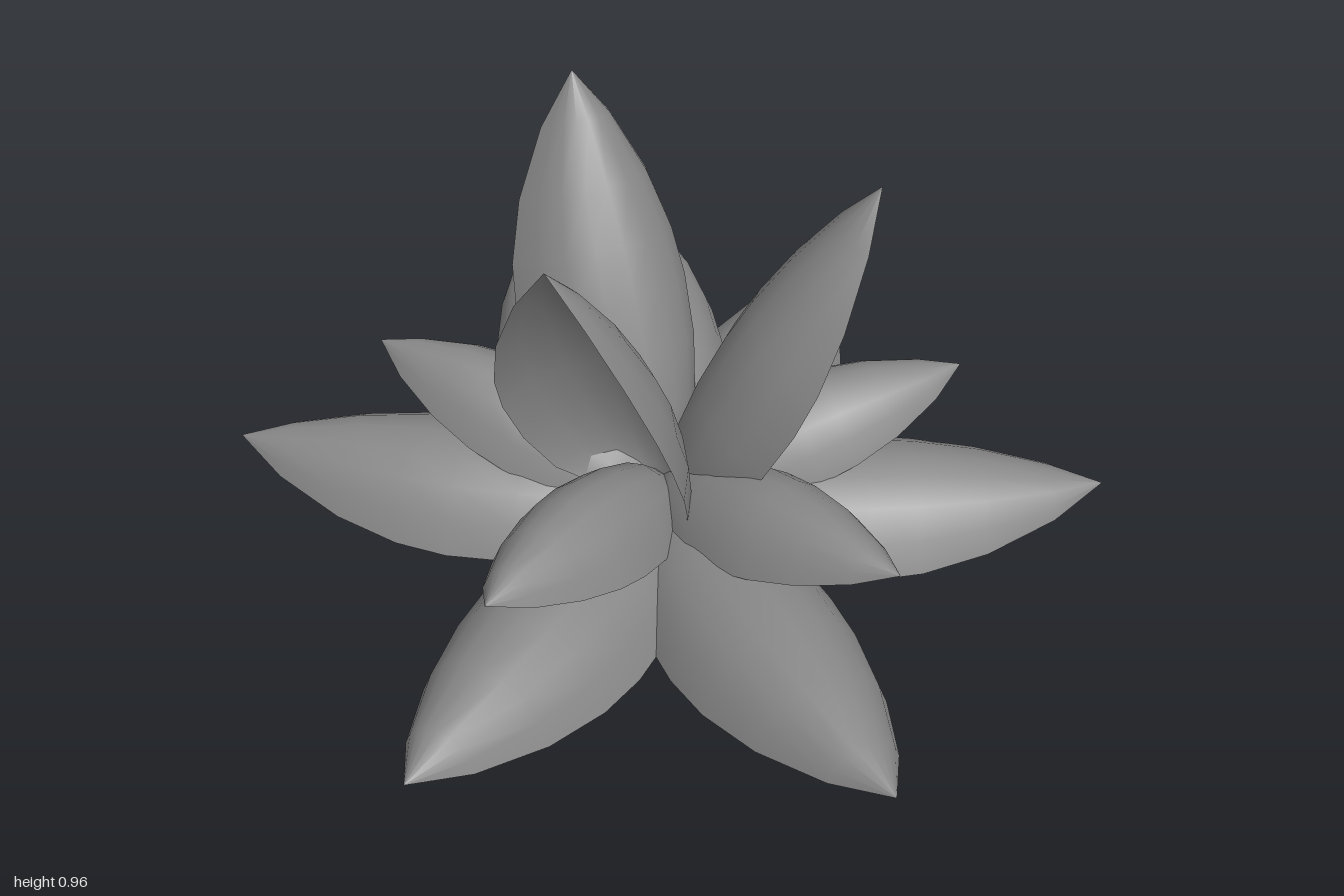
import * as THREE from 'three';

// Half-width of a petal at stations along its length (0 = base, 1 = tip)
const STATIONS = [
  [0, 0.03], [0.06, 0.105], [0.15, 0.168], [0.3, 0.2], [0.45, 0.207],
  [0.57, 0.195], [0.72, 0.155], [0.88, 0.083], [1, 0],
];
const SEGMENTS = 8;
const HALF_ARC = THREE.MathUtils.degToRad(72);

// Leaf-shaped arched shell along +z: the ridge is raised, both edges droop,
// and bow lifts the middle of the whole petal
function petalGeometry(length, width, height, bow) {
  const positions = [], index = [];
  for (const [t, w] of STATIONS) {
    const lift = bow * Math.sin(Math.PI * t);
    for (let j = 0; j <= SEGMENTS; j++) {
      const a = (j / SEGMENTS * 2 - 1) * HALF_ARC;
      const x = Math.sin(a) / Math.sin(HALF_ARC);
      const arch = (Math.cos(a) - Math.cos(HALF_ARC)) / (1 - Math.cos(HALF_ARC));
      positions.push(x * w * width, (arch * 0.93 - 0.45) * w * height + lift, t * length);
    }
  }
  const row = SEGMENTS + 1;
  for (let i = 0; i < STATIONS.length - 1; i++) {
    for (let j = 0; j < SEGMENTS; j++) {
      const a = i * row + j, b = a + 1, c = a + row, d = c + 1;
      index.push(a, c, b);
      if (i < STATIONS.length - 2) index.push(b, c, d);
    }
  }
  const geometry = new THREE.BufferGeometry();
  geometry.setAttribute('position', new THREE.Float32BufferAttribute(positions, 3));
  geometry.setIndex(index);
  geometry.computeVertexNormals();
  return geometry;
}

export function createModel() {
  const model = new THREE.Group();
  model.name = 'flower';
  const material = new THREE.MeshStandardMaterial({ color: 0x888888, side: THREE.DoubleSide });

  // Three whorls: base radius and height, tip radius and height, size, directions from the front
  const whorls = [
    { name: 'lowerPetal', start: 0, base: 0.1, reach: 1, tip: 0.09,
      width: 1, height: 1, bow: 0, angles: [0, 57, 123, 185, 232, 288] },
    { name: 'middlePetal', start: 0, base: 0.13, reach: 0.7, tip: 0.32,
      width: 0.72, height: 0.85, bow: 0.035, angles: [0, 73, 136, 209, 277] },
    { name: 'uprightPetal', start: 0.045, base: 0.13, reach: 0.44, tip: 0.96,
      width: 1, height: 1, bow: 0, angles: [-1, 111, 237] },
  ];

  for (const { name, start, base, reach, tip, width, height, bow, angles } of whorls) {
    const run = reach - start, rise = tip - base;
    const geometry = petalGeometry(Math.hypot(run, rise), width, height, bow);
    const whorl = new THREE.Group();
    whorl.name = name + 's';
    whorl.position.x = 0.052;
    for (const angle of angles) {
      const turn = THREE.MathUtils.degToRad(angle);
      const petal = new THREE.Mesh(geometry, material);
      petal.name = name;
      petal.rotation.order = 'YXZ';
      petal.rotation.set(-Math.atan2(rise, run), turn, 0);
      petal.position.set(start * Math.sin(turn), base, start * Math.cos(turn));
      whorl.add(petal);
    }
    model.add(whorl);
  }
  return model;
}
